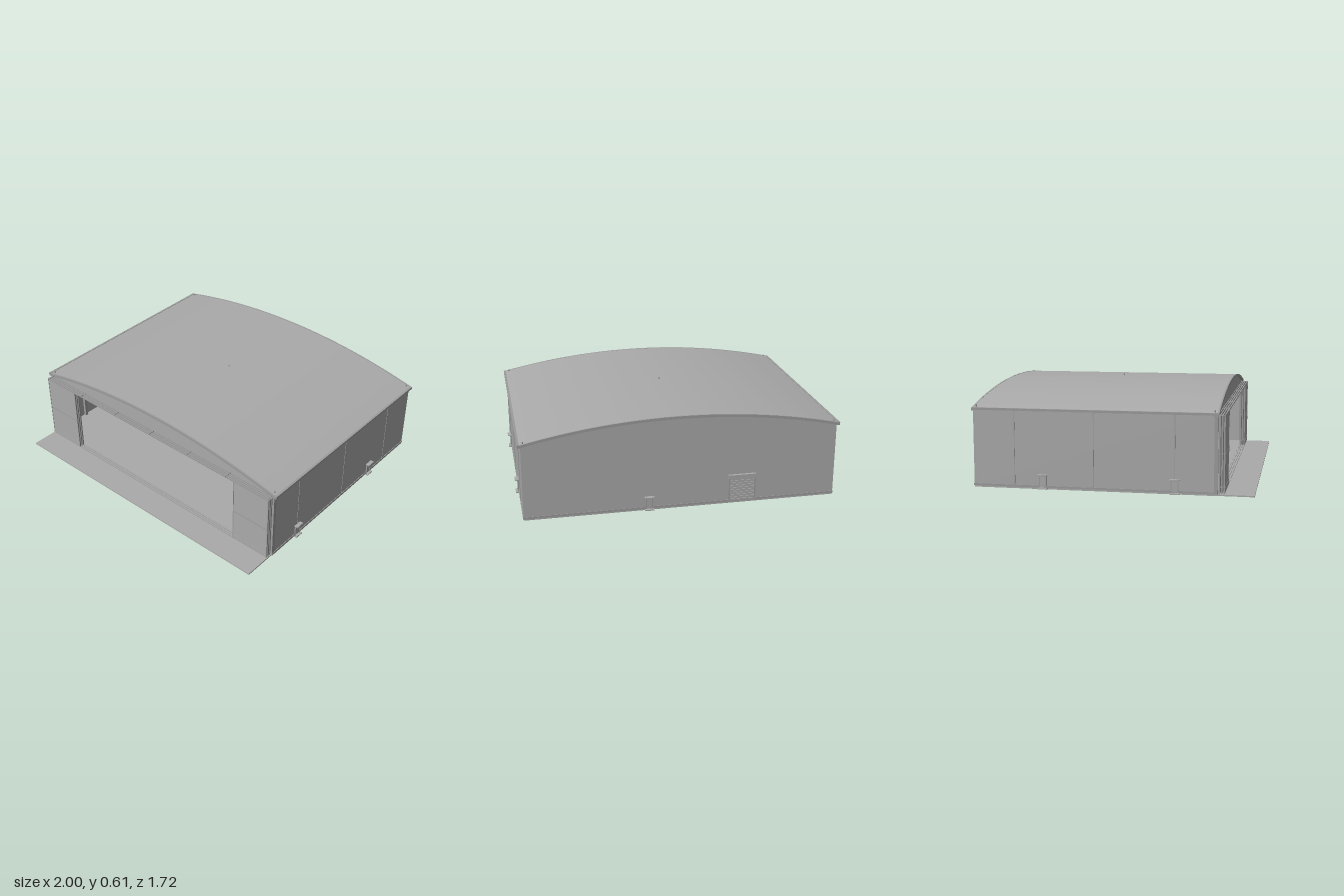
import * as THREE from 'three';

const mat = (name, color) => Object.assign(new THREE.MeshStandardMaterial({ color }), { name });

export function createModel() {
  const model = new THREE.Group();
  model.name = 'hangar';
  const cladding = mat('claddingGrey', 0xaaaaaa);
  const trim = mat('trimGrey', 0x9c9c9c);
  const glass = mat('darkGlass', 0x2c2c38);

  const add = (name, geo, material, parent = model) => {
    const m = new THREE.Mesh(geo, material);
    m.name = name;
    parent.add(m);
    return m;
  };
  // Box given by its extents on each axis
  const box = (name, x0, x1, y0, y1, z0, z1, material = cladding, parent = model) => {
    const m = add(name, new THREE.BoxGeometry(x1 - x0, y1 - y0, z1 - z0), material, parent);
    m.position.set((x0 + x1) / 2, (y0 + y1) / 2, (z0 + z1) / 2);
    return m;
  };
  const group = (name) => {
    const g = new THREE.Group();
    g.name = name;
    model.add(g);
    return g;
  };

  // Circular roof curve
  const R = 4.32;
  const arcY = (x, top) => top - R + Math.sqrt(R * R - x * x);
  const arcPoints = (half, top, n = 32) => Array.from({ length: n + 1 }, (_, i) => {
    const x = -half + (2 * half * i) / n;
    return new THREE.Vector2(x, arcY(x, top));
  });
  const extrude = (name, pts, z0, z1, material = cladding, parent = model) => {
    const geo = new THREE.ExtrudeGeometry(new THREE.Shape(pts), { depth: z1 - z0, bevelEnabled: false });
    return add(name, geo.translate(0, 0, z0), material, parent);
  };
  const arcBand = (half, top, t) => [...arcPoints(half, top - t), ...arcPoints(half, top).reverse()];
  const wallShape = (half, base, top) =>
    [new THREE.Vector2(-half, base), new THREE.Vector2(half, base), ...arcPoints(half, top).reverse()];

  // Floor slab and front apron
  box('floorSlab', -0.975, 0.975, 0, 0.01, -0.835, 0.64);
  box('apron', -0.97, 0.97, 0, 0.008, 0.64, 0.855);

  // Roof, edge fascias and corner fixtures
  extrude('roof', arcBand(0.99, 0.598, 0.012), -0.84, 0.645);
  for (const [z0, z1] of [[-0.842, -0.832], [0.637, 0.647]]) {
    extrude('roofFascia', arcBand(0.992, 0.599, 0.017), z0, z1, trim);
  }
  for (const s of [-1, 1]) {
    const x = s * 0.988;
    box('gutter', x - 0.007, x + 0.007, 0.473, 0.487, -0.84, 0.645, trim);
    for (const z of [-0.82, 0.62]) {
      const lamp = add('cornerLamp', new THREE.CylinderGeometry(0.005, 0.005, 0.012, 10), trim);
      lamp.position.set(s * 0.96, arcY(0.96, 0.602), z);
    }
  }
  const beacon = add('ridgeBeacon', new THREE.CylinderGeometry(0.004, 0.005, 0.012, 10), trim);
  beacon.position.set(0, 0.603, -0.1);

  // Gable walls
  extrude('backWall', wallShape(0.975, 0.01, 0.587), -0.835, -0.82);
  extrude('frontGable', wallShape(0.975, 0.465, 0.587), 0.62, 0.635);
  box('frontLintel', -0.975, 0.975, 0.457, 0.472, 0.615, 0.64, trim);
  box('backPlinth', -0.977, 0.977, 0.01, 0.022, -0.838, -0.833, trim);

  // Personnel door with canopy and step, facing +z before it is turned
  const serviceDoor = (x, z, turn) => {
    const g = group('serviceDoor');
    box('doorLeaf', -0.018, 0.018, 0.012, 0.078, -0.004, 0.004, cladding, g);
    for (const s of [-1, 1]) box('doorJamb', s * 0.02 - 0.003, s * 0.02 + 0.003, 0.01, 0.08, -0.004, 0.007, trim, g);
    box('doorHead', -0.023, 0.023, 0.078, 0.083, -0.004, 0.007, trim, g);
    box('doorCanopy', -0.029, 0.029, 0.086, 0.091, -0.002, 0.024, cladding, g);
    box('doorStep', -0.029, 0.029, 0.002, 0.009, -0.002, 0.02, cladding, g);
    g.position.set(x, 0, z);
    g.rotation.y = turn;
  };
  serviceDoor(0.21, -0.836, Math.PI);

  // Side walls with seams, plinth, columns and doors
  for (const s of [-1, 1]) {
    const lo = Math.min(s * 0.96, s * 0.975);
    box('sideWall', lo, lo + 0.015, 0.01, 0.485, -0.835, 0.635);
    const face = s * 0.976;
    box('sidePlinth', face - 0.003, face + 0.003, 0.01, 0.022, -0.835, 0.635, trim);
    for (const z of [0.39, -0.095, -0.58]) {
      box('wallSeam', face - 0.002, face + 0.002, 0.02, 0.475, z - 0.002, z + 0.002, trim);
      box('column', s * 0.952 - 0.01, s * 0.952 + 0.01, 0.01, 0.48, z - 0.01, z + 0.01, trim);
    }
    box('cornerPost', s * 0.968 - 0.009, s * 0.968 + 0.009, 0.01, 0.475, 0.62, 0.642, trim);
    for (const z of [0.39, -0.405]) serviceDoor(s * 0.976, z, s * Math.PI / 2);
  }

  // Arched roof trusses with webs
  const strut = (name, a, b, r, parent) => {
    const dir = b.clone().sub(a);
    const m = add(name, new THREE.CylinderGeometry(r, r, dir.length(), 6), trim, parent);
    m.position.copy(a).addScaledVector(dir, 0.5);
    m.quaternion.setFromUnitVectors(new THREE.Vector3(0, 1, 0), dir.normalize());
  };
  for (const z of [0.39, -0.095, -0.58]) {
    const g = group('roofTruss');
    extrude('topChord', arcBand(0.96, 0.584, 0.008), z - 0.005, z + 0.005, trim, g);
    box('bottomChord', -0.96, 0.96, 0.472, 0.478, z - 0.005, z + 0.005, trim, g);
    for (let i = -4; i < 4; i++) {
      const xa = i * 0.24, xb = xa + 0.24, mid = xa + 0.12;
      const top = new THREE.Vector3(mid, arcY(mid, 0.58), z);
      strut('truss web', new THREE.Vector3(xa, 0.475, z), top, 0.003, g);
      strut('truss web', new THREE.Vector3(xb, 0.475, z), top, 0.003, g);
    }
    // Hanging lamps
    for (const s of [-1, 1]) {
      const lamp = add('hangingLamp', new THREE.CylinderGeometry(0.004, 0.014, 0.012, 12), trim, g);
      lamp.position.set(s * 0.58, 0.437, z);
      strut('lampCord', new THREE.Vector3(s * 0.58, 0.443, z), new THREE.Vector3(s * 0.58, 0.475, z), 0.0015, g);
    }
  }

  // Sliding front doors, three stacked leaves a side, with tracks
  const tracks = [0.65, 0.664, 0.678];
  for (const s of [-1, 1]) {
    tracks.forEach((z) => {
      const g = group('slidingDoor');
      const x0 = s < 0 ? -0.963 : 0.7, x1 = x0 + 0.263;
      box('doorPanel', x0, x1, 0.012, 0.465, z - 0.003, z + 0.003, cladding, g);
      box('doorMidRail', x0, x1, 0.231, 0.238, z - 0.0045, z + 0.0045, trim, g);
      box('doorKickPlate', x0, x1, 0.014, 0.046, z - 0.0045, z + 0.0045, cladding, g);
      for (const x of [x0, x1]) box('doorStile', x - 0.003, x + 0.003, 0.012, 0.467, z - 0.0045, z + 0.0045, trim, g);
    });
  }
  for (const z of tracks) {
    box('floorTrack', -0.967, 0.967, 0.006, 0.011, z - 0.002, z + 0.002, trim);
    box('headTrack', -0.967, 0.967, 0.463, 0.472, z - 0.0035, z + 0.0035, trim);
  }
  for (let i = -3; i <= 3; i++) box('trackBracket', i * 0.318 - 0.003, i * 0.318 + 0.003, 0.467, 0.474, 0.635, 0.682, trim);

  // Roller shutter through the back wall
  const shutter = group('rollerShutter');
  box('shutterCurtain', -0.455, -0.297, 0.01, 0.17, -0.838, -0.817, cladding, shutter);
  for (let i = 0; i < 10; i++) {
    const y = 0.016 + i * 0.0155;
    box('shutterSlat', -0.457, -0.295, y, y + 0.011, -0.842, -0.813, cladding, shutter);
  }
  for (const x of [-0.458, -0.294]) box('shutterGuide', x - 0.004, x + 0.004, 0.01, 0.17, -0.844, -0.811, trim, shutter);
  box('shutterHousing', -0.464, -0.288, 0.166, 0.191, -0.852, -0.803, cladding, shutter);

  // Two-storey office in the back corner
  const office = group('office');
  const front = -0.56;
  box('officeBlock', 0.29, 0.69, 0.01, 0.208, -0.82, front, cladding, office);
  box('officeFloorBand', 0.285, 0.695, 0.103, 0.11, -0.82, front + 0.005, trim, office);
  box('officeRoofEdge', 0.285, 0.695, 0.204, 0.213, -0.82, front + 0.005, trim, office);
  for (const x of [0.36, 0.455, 0.55, 0.647]) {
    for (const y of [0.062, 0.165]) {
      box('window', x - 0.035, x + 0.035, y - 0.021, y + 0.021, front, front + 0.004, glass, office);
    }
  }
  box('officeDoor', 0.515, 0.55, 0.01, 0.075, front, front + 0.006, trim, office);
  box('roofRail', 0.29, 0.69, 0.236, 0.239, front - 0.004, front, trim, office);
  for (let i = 0; i < 5; i++) {
    const x = 0.29 + i * 0.1;
    box('railPost', x - 0.0015, x + 0.0015, 0.21, 0.238, front - 0.004, front, trim, office);
  }
  // Stair beside the office, rising to the back
  for (let i = 0; i < 12; i++) {
    const y = 0.018 + i * 0.0165, z = front - 0.01 - i * 0.018;
    box('stairTread', 0.235, 0.268, y, y + 0.004, z - 0.018, z, trim, office);
  }
  for (const x of [0.235, 0.268]) {
    strut('stairStringer', new THREE.Vector3(x, 0.012, front), new THREE.Vector3(x, 0.205, front - 0.216), 0.003, office);
    strut('stairHandrail', new THREE.Vector3(x, 0.045, front), new THREE.Vector3(x, 0.238, front - 0.216), 0.002, office);
  }
  // Workbenches in front of the office
  for (const x of [0.385, 0.425, 0.535]) box('crate', x - 0.015, x + 0.015, 0.01, 0.036, front + 0.03, front + 0.06, trim);

  return model;
}
